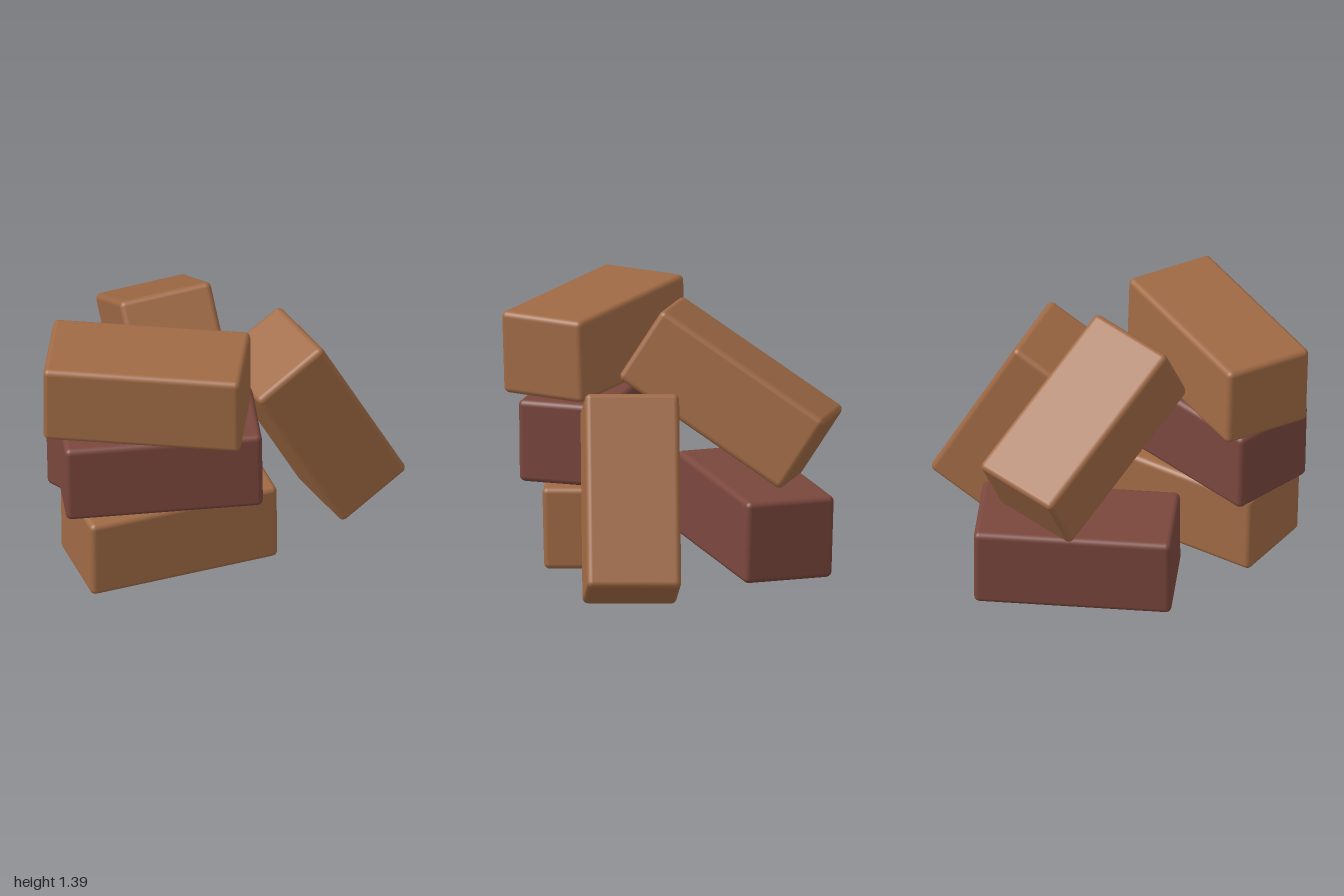
import * as THREE from 'three';
import { RoundedBoxGeometry } from 'three/addons/geometries/RoundedBoxGeometry.js';

const LENGTH = 1.02, HEIGHT = 0.435, DEPTH = 0.485, BEVEL = 0.03;

export function createModel() {
  const group = new THREE.Group();
  group.name = 'brickPile';

  const geometry = new RoundedBoxGeometry(LENGTH, HEIGHT, DEPTH, 3, BEVEL);
  const tan = new THREE.MeshStandardMaterial({ color: 0xa06a45 });
  const red = new THREE.MeshStandardMaterial({ color: 0x7a473d });

  // Places one brick by its centre, the direction of its length and its upper side
  function brick(name, material, centre, along, up) {
    const x = new THREE.Vector3(...along).normalize();
    const z = x.clone().cross(new THREE.Vector3(...up)).normalize();
    const y = z.clone().cross(x);
    const mesh = new THREE.Mesh(geometry, material);
    mesh.name = name;
    mesh.quaternion.setFromRotationMatrix(new THREE.Matrix4().makeBasis(x, y, z));
    mesh.position.set(...centre);
    group.add(mesh);
  }

  // Twisted stack of three
  brick('stackBottomBrick', tan, [-0.325, 0.26, 0.345], [0.97, 0.018, 0.21], [-0.02, 1, 0.02]);
  brick('stackMiddleBrick', red, [-0.395, 0.688, 0.36], [0.9, 0.016, 0.43], [-0.018, 1, 0.01]);
  brick('stackTopBrick', tan, [-0.465, 1.125, 0.355], [0.77, 0, 0.62], [-0.02, 1, 0.028]);

  // Brick lying behind the stack
  brick('backBrick', red, [0.02, 0.275, -0.418], [0.96, 0, -0.243], [-0.008, 1, -0.03]);

  // Brick sloping down backwards over the back brick
  brick('slopingBrick', tan, [0.03, 0.933, -0.295], [0.34, -0.51, -0.775], [0.03, 0.345, -0.215]);

  // Brick leaning against the side of the stack
  brick('leaningBrick', tan, [0.57, 0.547, 0.288], [0.49, -0.9, 0.048], [0.9, 0.48, 0.045]);

  return group;
}
